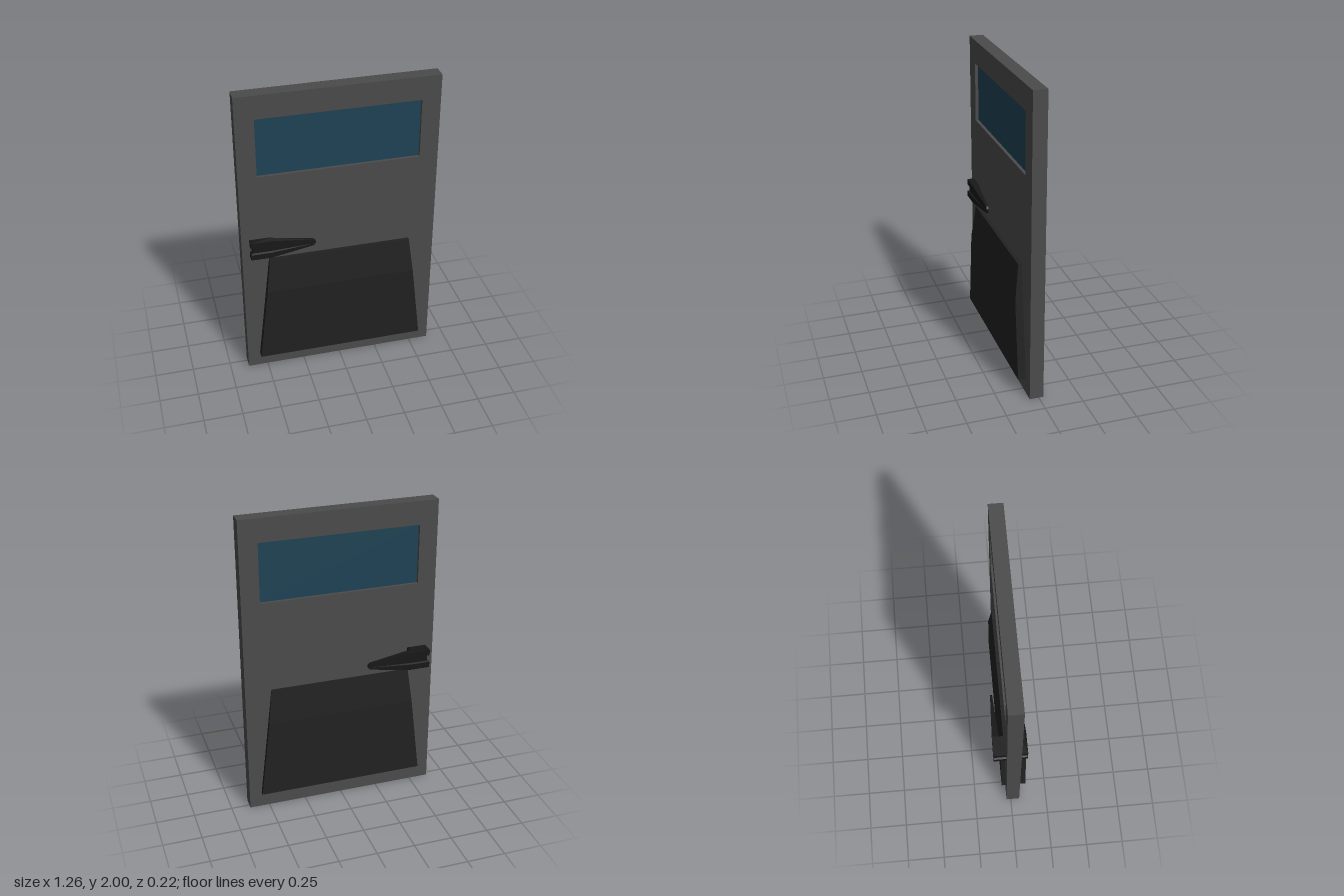
import * as THREE from 'three';

const material = (color) => new THREE.MeshStandardMaterial({ color, flatShading: true });
const shapeOf = (points) => new THREE.Shape(points.map(([x, y]) => new THREE.Vector2(x, y)));

function moveVertices(geometry, rule) {
  const p = geometry.attributes.position;
  const v = new THREE.Vector3();
  for (let i = 0; i < p.count; i++) {
    rule(v.fromBufferAttribute(p, i));
    p.setXYZ(i, v.x, v.y, v.z);
  }
  geometry.computeVertexNormals();
  return geometry;
}

// Door slab with a rectangular window opening
function slabGeometry() {
  const shape = shapeOf([[-0.63, 0], [0.63, 0], [0.63, 2], [-0.63, 2]]);
  shape.holes.push(shapeOf([[-0.512, 1.46], [-0.512, 1.847], [0.512, 1.847], [0.512, 1.46]]));
  return new THREE.ExtrudeGeometry(shape, { depth: 0.09, bevelEnabled: false }).translate(0, 0, -0.03);
}

// Lower panel: side profile swept across the door, narrowing towards the top
function panelGeometry() {
  const profile = [[0.11, 0.103], [0.11, 0.63], [0.083, 0.863], [-0.035, 0.863], [-0.058, 0.63], [-0.058, 0.103]];
  const geometry = new THREE.ExtrudeGeometry(shapeOf(profile.map(([z, y]) => [-z, y])),
    { depth: 2, bevelEnabled: false });
  geometry.translate(0, 0, -1).rotateY(Math.PI / 2);
  return moveVertices(geometry, (v) => { v.x *= 0.55 - 0.09 * (v.y - 0.103) / 0.76; });
}

// Handle: plan outline stacked in levels, grooved along the middle, tapering to the tip
function handleGeometry(side) {
  const outline = [[-0.58, 0.03], [-0.58, 0.11], [-0.45, 0.11], [-0.163, 0.097],
    [-0.163, 0.084], [-0.455, 0.067], [-0.455, 0.03]];
  const levels = [0.062, 0.024, 0.018, -0.018, -0.024, -0.062];
  const geometry = new THREE.ExtrudeGeometry(shapeOf(outline.map(([x, z]) => [x, z * side])),
    { depth: 5, steps: 5, bevelEnabled: false });
  geometry.rotateX(Math.PI / 2);
  return moveVertices(geometry, (v) => {
    const level = Math.round(-v.y);
    const taper = v.x > -0.3 ? 0.36 : 1;
    const grooved = level === 2 || level === 3;
    v.y = 0.956 + levels[level] * taper;
    if (grooved && Math.abs(v.z) > 0.105) v.z -= 0.011 * side;
    if (grooved && v.x < -0.57) v.x += 0.014;
    if (v.x > -0.2 && (level === 0 || level === 5)) v.x -= 0.012;
  });
}

export function createModel() {
  const group = new THREE.Group();
  const add = (name, geometry, mat) => {
    const mesh = new THREE.Mesh(geometry, mat);
    mesh.name = name;
    group.add(mesh);
  };
  add('doorSlab', slabGeometry(), material(0x4b4b4b));
  add('windowPane', new THREE.BoxGeometry(1.024, 0.387, 0.05).translate(0, 1.6535, 0.015), material(0x1f4255));
  add('lowerPanel', panelGeometry(), material(0x212121));
  const handleMaterial = material(0x181818);
  add('frontHandle', handleGeometry(1).translate(0, 0, -0.004), handleMaterial);
  add('backHandle', handleGeometry(-1), handleMaterial);
  return group;
}
